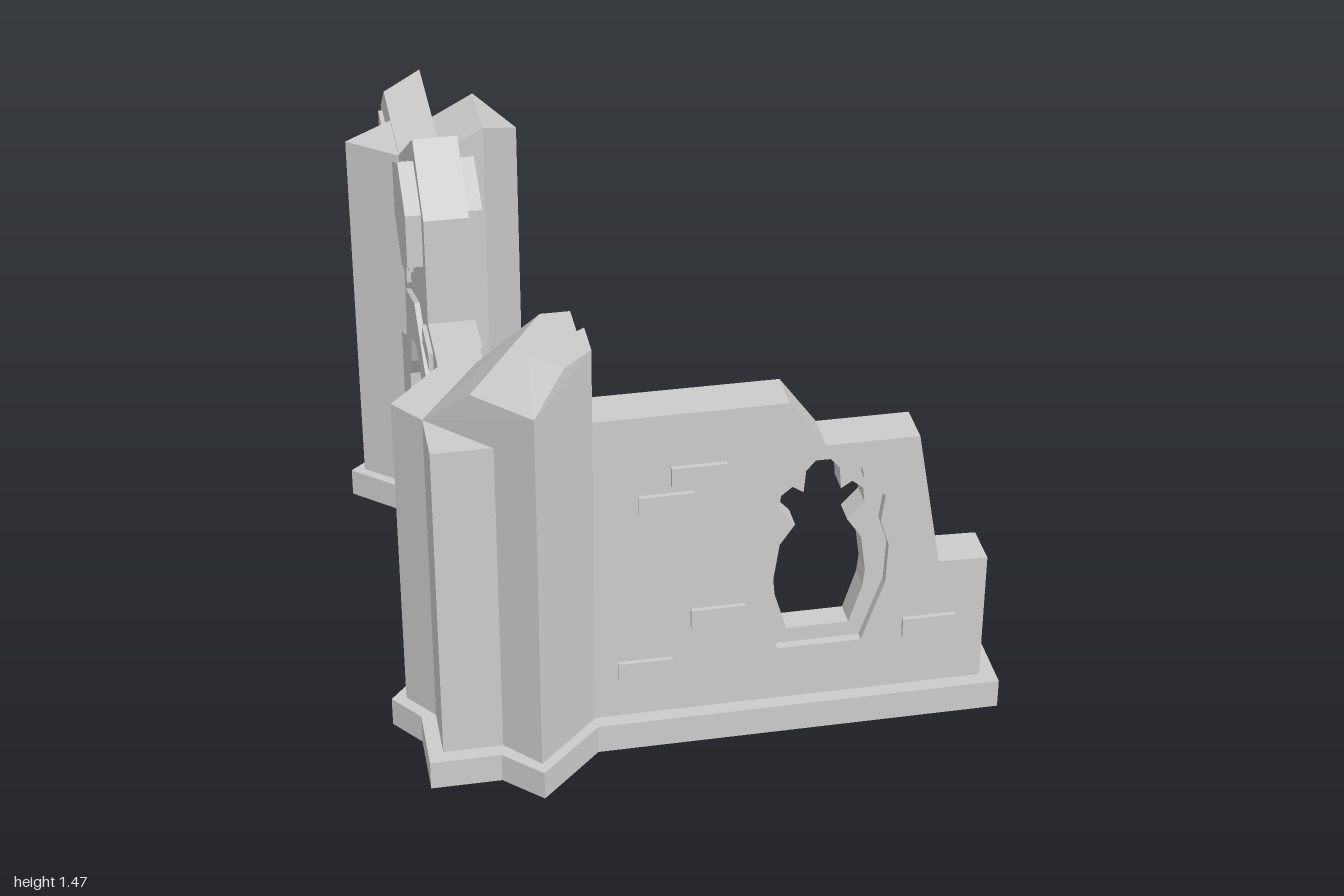
import * as THREE from 'three';
import { ConvexGeometry } from 'three/addons/geometries/ConvexGeometry.js';

const mat = new THREE.MeshStandardMaterial({ color: 0xcccccc, flatShading: true, side: THREE.DoubleSide });
const WALL_X = -0.58, WALL_Z = 0.73, FLOOR = 0.085;

const shapeOf = (pts) => new THREE.Shape(pts.map(([a, b]) => new THREE.Vector2(a, b)));

// Symmetric outline from [distance, y] points listed top to bottom; runs from the + side foot to the - side foot
function mirrored(half, c) {
  const plus = half.map(([d, y]) => [c + d, y]);
  const minus = half.filter(([d]) => d > 0).map(([d, y]) => [c - d, y]);
  return [...plus.reverse(), ...minus];
}

export function createModel() {
  const root = new THREE.Group();
  const add = (name, geo) => {
    const m = new THREE.Mesh(geo, mat);
    m.name = name;
    root.add(m);
    return m;
  };

  // Slab facing +z, drawn in (x, y)
  const frontSlab = (name, pts, thick, hole) => {
    const s = shapeOf(pts);
    if (hole) s.holes.push(shapeOf(hole));
    const g = new THREE.ExtrudeGeometry(s, { depth: thick, bevelEnabled: false });
    add(name, g.translate(0, 0, WALL_Z - thick / 2));
  };
  // Slab facing x, drawn in (z, y)
  const sideSlab = (name, pts, thick) => {
    const g = new THREE.ExtrudeGeometry(shapeOf(pts), { depth: thick, bevelEnabled: false });
    g.translate(0, 0, -thick / 2).rotateY(-Math.PI / 2);
    add(name, g.translate(WALL_X, 0, 0));
  };
  // Upright prism from an (x, z) plan
  const prism = (pts, y0, y1) =>
    new THREE.ExtrudeGeometry(shapeOf(pts), { depth: y1 - y0, bevelEnabled: false })
      .rotateX(Math.PI / 2).translate(0, y1, 0);
  const hull = (name, pts) => add(name, new ConvexGeometry(pts.map((p) => new THREE.Vector3(...p))));

  // Plinth, hollow underneath, with sloped ends at the doorway
  const plinth = (name, plan) => {
    const g = prism(plan, 0, FLOOR);
    const p = g.attributes.position, keep = [];
    for (let i = 0; i < p.count; i += 3) {
      if ([0, 1, 2].every((k) => p.getY(i + k) < 0.01)) continue;
      for (let k = 0; k < 3; k++) {
        const y = p.getY(i + k);
        let z = p.getZ(i + k);
        if (y < 0.01 && Math.abs(z - 0.11) < 0.001) z = 0.09;
        if (y < 0.01 && Math.abs(z + 0.08) < 0.001) z = -0.05;
        keep.push(p.getX(i + k), y, z);
      }
    }
    const out = new THREE.BufferGeometry();
    out.setAttribute('position', new THREE.Float32BufferAttribute(keep, 3));
    out.computeVertexNormals();
    add(name, out);
  };
  plinth('cornerPlinth', [[-0.475, 0.11], [-0.475, 0.4], [-0.245, 0.4], [-0.245, 0.63], [0.82, 0.63],
    [0.82, 0.83], [-0.29, 0.83], [-0.46, 0.995], [-0.56, 0.9], [-0.75, 0.9], [-0.75, 0.7],
    [-0.82, 0.61], [-0.68, 0.45], [-0.68, 0.11]]);
  plinth('backPlinth', [[-0.68, -0.08], [-0.68, -0.41], [-0.82, -0.53], [-0.68, -0.65], [-0.68, -1],
    [-0.475, -1], [-0.475, -0.69], [-0.39, -0.69], [-0.23, -0.53], [-0.39, -0.37], [-0.475, -0.37],
    [-0.475, -0.08]]);

  // Front wall with a recessed window frame
  const windowFrame = mirrored([[0, 0.885], [0.06, 0.86], [0.1, 0.8], [0.105, 0.77], [0.165, 0.71], [0.155, 0.63],
    [0.18, 0.55], [0.175, 0.43], [0.115, 0.25]], 0.32).map(([x, y]) => [x, Math.min(y, 0.878)]);
  const windowHole = mirrored([[0.02, 0.825], [0.045, 0.795], [0.05, 0.73], [0.08, 0.75], [0.11, 0.725],
    [0.115, 0.68], [0.07, 0.63], [0.11, 0.57], [0.125, 0.46], [0.12, 0.41], [0.085, 0.295]], 0.32);
  frontSlab('frontWall', [[-0.4, 0.08], [0.775, 0.08], [0.775, 0.475], [0.64, 0.48], [0.57, 0.885],
    [0.32, 0.885], [0.22, 1.025], [-0.4, 1.025]], 0.12, windowFrame);
  frontSlab('windowFrame', windowFrame, 0.07, windowHole);

  // Gabled side wall, arch slab and recessed door frame
  const doorFrame = mirrored([[0, 0.837], [0.135, 0.78], [0.175, 0.68], [0.225, 0.61], [0.225, 0.5],
    [0.255, 0.4], [0.25, 0.28], [0.215, 0.08]], 0.02);
  const doorHole = mirrored([[0, 0.75], [0.04, 0.725], [0.065, 0.65], [0.07, 0.595], [0.135, 0.62],
    [0.155, 0.535], [0.085, 0.46], [0.17, 0.36], [0.175, 0.21], [0.13, 0.08]], 0.02);
  const opening = [...doorFrame].reverse();
  sideSlab('sideWall', [...opening, [0.5, 0.08], [0.5, 1.025], [0.23, 1.025], [0.23, 1.335],
    [0.02, 1.47], [-0.41, 1.205], [-0.82, 1.205], [-0.82, 1.1], [-0.95, 1.1], [-0.95, 0.665],
    [-0.87, 0.63], [-0.95, 0.48], [-0.95, 0.08]], 0.12);
  sideSlab('doorArch', [...opening, [0.47, 0.08], [0.47, 0.62], [0.3, 0.69], [0.25, 0.88], [0.02, 0.97],
    [-0.22, 0.88], [-0.27, 0.7], [-0.43, 0.62], [-0.43, 0.08]], 0.15);
  sideSlab('doorFrame', [...doorFrame, ...[...doorHole].reverse()], 0.08);
  sideSlab('gablePanel', [[0.02, 1.405], [0.175, 1.325], [0.175, 1.17], [0.02, 1.09], [-0.14, 1.17],
    [-0.14, 1.325]], 0.205);
  // Broken corner at the far end of the side wall
  hull('brokenWallEnd', [[-0.64, 1.1, -0.82], [-0.52, 1.1, -0.82], [-0.52, 1.1, -0.95], [-0.64, 1.1, -0.95],
    [-0.64, 1.205, -0.82], [-0.52, 1.205, -0.82], [-0.52, 1.205, -0.95]]);

  // Corner pillar with its broken, stepped top
  add('cornerPillar', prism([[-0.78, 0.61], [-0.64, 0.45], [-0.29, 0.45], [-0.29, 0.79], [-0.46, 0.955],
    [-0.55, 0.86], [-0.71, 0.86], [-0.71, 0.7]], 0.08, 1.025));
  hull('cornerPillarSlope', [[-0.71, 1.025, 0.7], [-0.54, 1.025, 0.45], [-0.29, 1.025, 0.45], [-0.29, 1.025, 0.79],
    [-0.46, 1.025, 0.955], [-0.6, 1.155, 0.81], [-0.37, 1.155, 0.45], [-0.29, 1.155, 0.45],
    [-0.29, 1.155, 0.79], [-0.46, 1.155, 0.955]]);
  hull('cornerPillarTip', [[-0.54, 1.155, 0.87], [-0.46, 1.155, 0.955], [-0.29, 1.155, 0.79], [-0.29, 1.155, 0.68],
    [-0.45, 1.155, 0.79], [-0.45, 1.24, 0.79], [-0.29, 1.24, 0.68], [-0.29, 1.24, 0.79], [-0.37, 1.24, 0.865]]);

  // Back pillar
  add('backPillar', prism([[-0.78, -0.53], [-0.64, -0.64], [-0.4, -0.64], [-0.29, -0.53], [-0.4, -0.415],
    [-0.64, -0.415]], 0.08, 1.2));
  hull('backPillarTip', [[-0.52, 1.2, -0.64], [-0.52, 1.2, -0.415], [-0.4, 1.2, -0.64], [-0.4, 1.2, -0.415],
    [-0.29, 1.2, -0.53], [-0.4, 1.265, -0.64], [-0.4, 1.265, -0.415]]);

  // Raised bricks running through both walls
  for (const [x, y] of [[-0.015, 0.84], [-0.1, 0.76], [0.04, 0.385], [-0.155, 0.235], [0.62, 0.28]])
    add('frontBrick', new THREE.BoxGeometry(0.145, 0.056, 0.145)).position.set(x, y, WALL_Z);
  for (const [z, y] of [[0.26, 0.97], [-0.27, 1.18], [-0.195, 1.015], [-0.28, 0.935], [-0.83, 1.075],
    [-0.785, 0.785], [-0.74, 0.7], [-0.83, 0.375]])
    add('sideBrick', new THREE.BoxGeometry(0.145, 0.056, 0.148)).position.set(WALL_X, y, z);

  return root;
}
